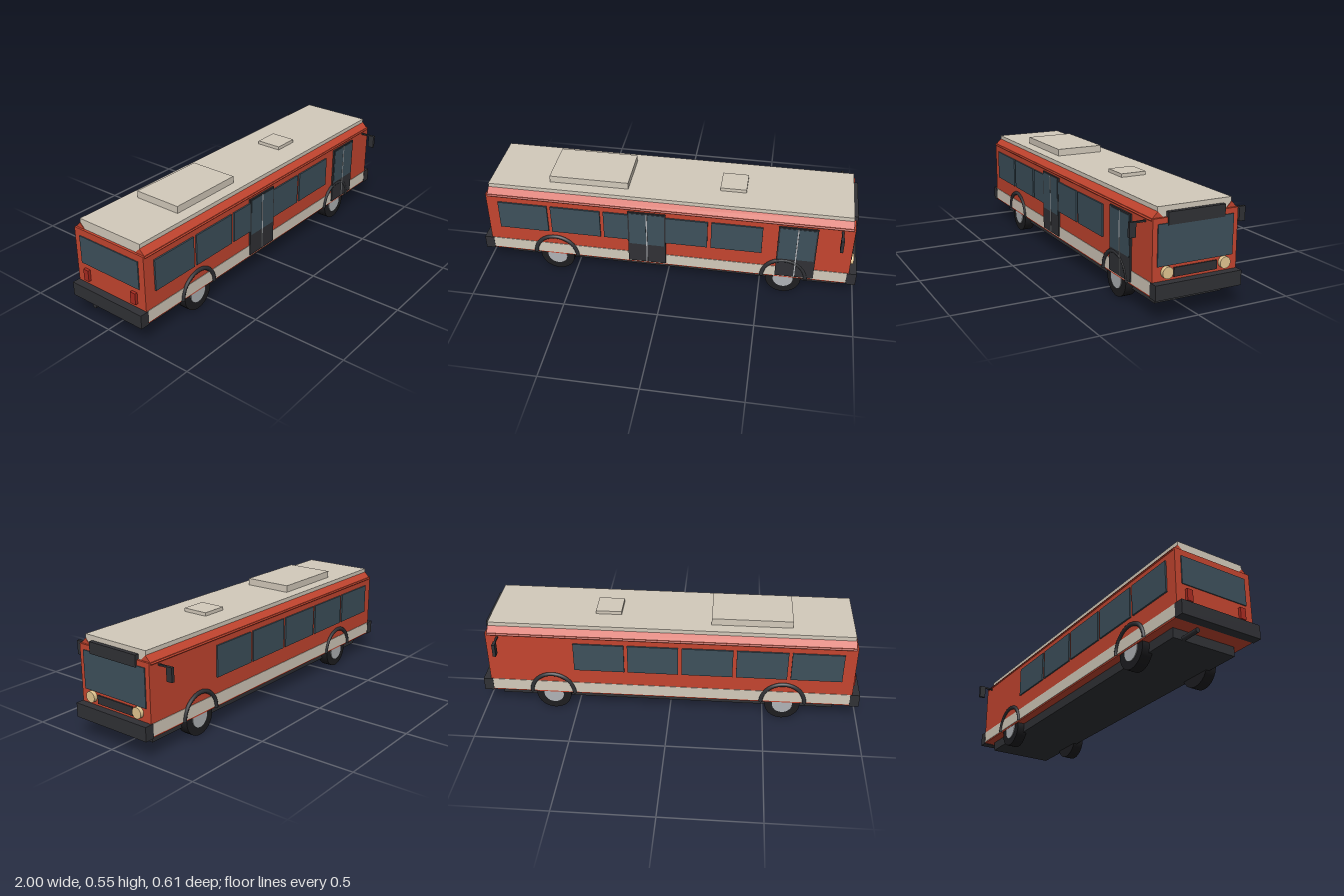
import * as THREE from 'three';

const mat = (color) => new THREE.MeshStandardMaterial({ color });

export function createModel() {
  const bus = new THREE.Group();
  const red = mat(0xc4452f), cream = mat(0xd3cabb), dark = mat(0x303135), glass = mat(0x3d505b);
  const tyre = mat(0x1d1d20), steel = mat(0xb0b3b6), lamp = mat(0xe3c691), tail = mat(0xa82a20);

  const add = (name, geometry, material, x = 0, y = 0, z = 0) => {
    const m = new THREE.Mesh(geometry, material);
    m.name = name;
    m.position.set(x, y, z);
    bus.add(m);
    return m;
  };
  // Box given by its extents on each axis
  const box = (name, material, x0, x1, y0, y1, z0, z1) =>
    add(name, new THREE.BoxGeometry(x1 - x0, y1 - y0, z1 - z0), material,
      (x0 + x1) / 2, (y0 + y1) / 2, (z0 + z1) / 2);

  // Body shell, skirt band and underframe
  box('body', red, -0.96, 0.96, 0.107, 0.467, -0.224, 0.224);
  box('skirtBand', cream, -0.957, 0.957, 0.115, 0.177, -0.2265, 0.2265);
  box('underframe', dark, -0.87, 0.912, 0.057, 0.11, -0.18, 0.18);

  // Roof with air conditioning unit and hatch
  box('roof', cream, -0.947, 0.947, 0.45, 0.516, -0.194, 0.194);
  box('roofUnit', cream, -0.63, -0.212, 0.51, 0.553, -0.131, 0.131);
  box('roofHatch', cream, 0.262, 0.398, 0.51, 0.534, -0.069, 0.069);

  // Bumpers
  box('frontBumper', dark, 0.95, 1, 0.105, 0.177, -0.228, 0.228);
  box('rearBumper', dark, -1, -0.95, 0.105, 0.177, -0.228, 0.228);

  // Front face
  box('windshield', glass, 0.95, 0.965, 0.247, 0.441, -0.199, 0.199);
  box('destinationSign', dark, 0.94, 0.969, 0.433, 0.492, -0.149, 0.149);
  box('grille', dark, 0.95, 0.967, 0.19, 0.233, -0.114, 0.114);

  // Rear face
  box('rearWindow', glass, -0.965, -0.95, 0.285, 0.432, -0.19, 0.19);
  const exhaust = add('exhaustPipe', new THREE.CylinderGeometry(0.012, 0.012, 0.1, 16), dark, -0.92, 0.067, -0.12);
  exhaust.rotation.z = Math.PI / 2;

  for (const s of [1, -1]) {
    // Sloped roof edge
    const edge = add('roofEdge', new THREE.BoxGeometry(1.9, 0.05, 0.05), red, 0, 0.4596, s * 0.194);
    edge.rotation.x = Math.PI / 4;

    // Row of side windows
    for (let i = 0; i < 5; i++) {
      const x = -0.897 + i * 0.2835;
      box('sideWindow', glass, x, x + 0.265, 0.262, 0.425, s * 0.228 - 0.004, s * 0.228 + 0.004);
    }

    // Lights
    const light = add('headlight', new THREE.CylinderGeometry(0.028, 0.028, 0.03, 24), lamp, 0.964, 0.218, s * 0.152);
    light.rotation.z = Math.PI / 2;
    box('tailLight', tail, -0.975, -0.95, 0.2, 0.26, s * 0.156 - 0.016, s * 0.156 + 0.016);

    // Mirrors on short arms
    box('mirrorArm', dark, 0.892, 0.902, 0.441, 0.449, s * 0.255 - 0.045, s * 0.255 + 0.045);
    box('mirror', dark, 0.889, 0.905, 0.378, 0.449, s * 0.2905 - 0.0165, s * 0.2905 + 0.0165);

    // Wheels and arch trims
    for (const x of [-0.6, 0.625]) {
      const wheel = add('tyre', new THREE.CylinderGeometry(0.093, 0.093, 0.058, 32), tyre, x, 0.093, s * 0.189);
      wheel.rotation.x = Math.PI / 2;
      const hub = add('hub', new THREE.CylinderGeometry(0.053, 0.053, 0.06, 24), steel, x, 0.093, s * 0.192);
      hub.rotation.x = Math.PI / 2;
      add('wheelArch', new THREE.TorusGeometry(0.115, 0.011, 8, 28, Math.PI), dark, x, 0.109, s * 0.225);
    }
  }

  // Double doors on the right-hand side
  for (const x of [-0.1, 0.68]) {
    box('door', dark, x - 0.1, x + 0.1, 0.122, 0.445, 0.215, 0.2325);
    for (const s of [1, -1])
      box('doorGlass', glass, x + s * 0.048 - 0.044, x + s * 0.048 + 0.044, 0.24, 0.438, 0.225, 0.2345);
    box('doorSeam', steel, x - 0.003, x + 0.003, 0.125, 0.44, 0.225, 0.2355);
  }

  return bus;
}
